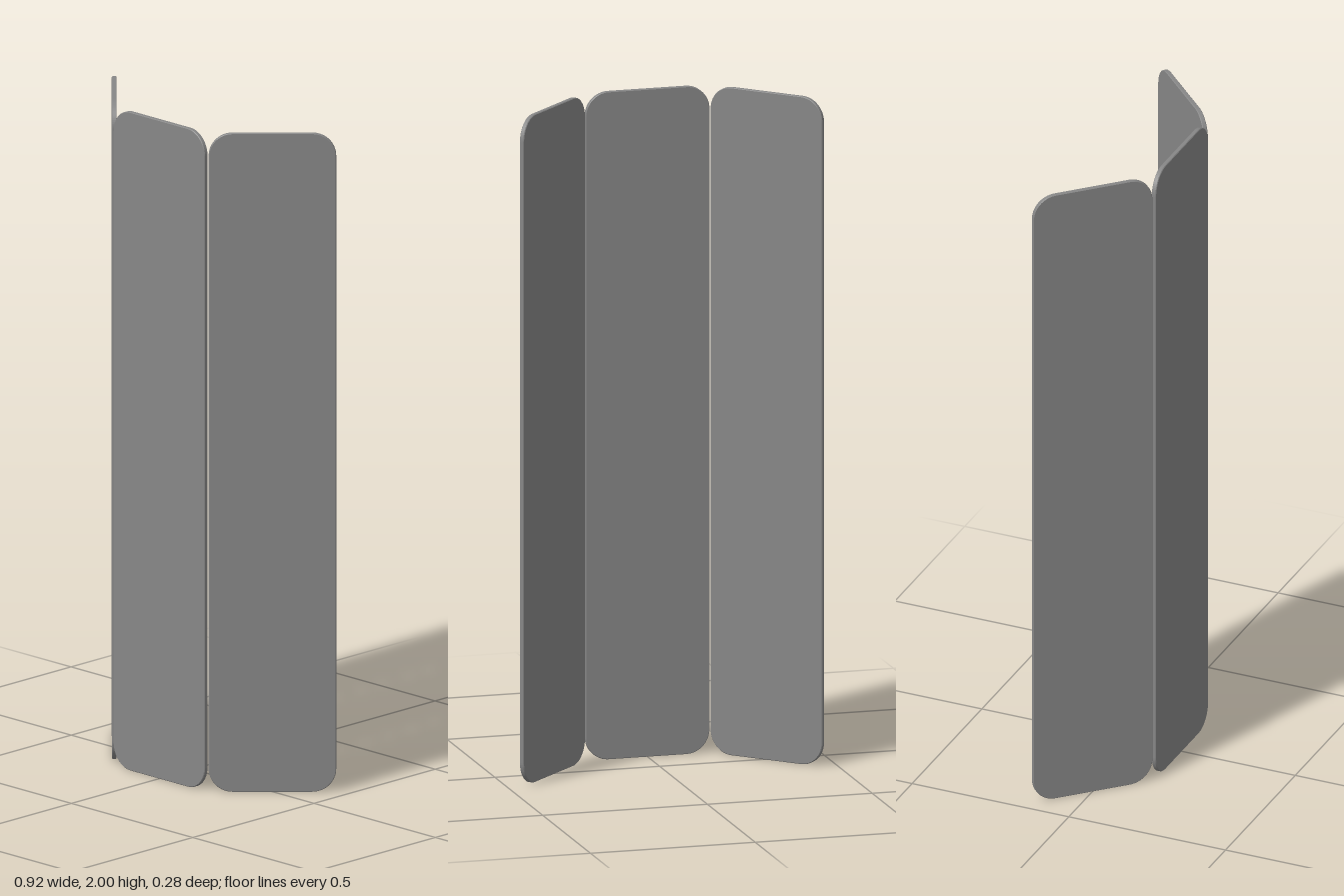
import * as THREE from 'three';

const HEIGHT = 2, THICKNESS = 0.014, RADIUS = 0.07, BEVEL = 0.002;

// Thin upright board with rounded corners and slightly eased edges, centred on its own origin
function panelGeometry(width) {
  const w = width / 2, h = HEIGHT / 2, r = RADIUS;
  const s = new THREE.Shape();
  s.moveTo(-w + r, -h);
  s.lineTo(w - r, -h);
  s.absarc(w - r, -h + r, r, -Math.PI / 2, 0);
  s.lineTo(w, h - r);
  s.absarc(w - r, h - r, r, 0, Math.PI / 2);
  s.lineTo(-w + r, h);
  s.absarc(-w + r, h - r, r, Math.PI / 2, Math.PI);
  s.lineTo(-w, -h + r);
  s.absarc(-w + r, -h + r, r, Math.PI, Math.PI * 1.5);
  const depth = THICKNESS - 2 * BEVEL;
  const geo = new THREE.ExtrudeGeometry(s, {
    depth, curveSegments: 10,
    bevelThickness: BEVEL, bevelSize: BEVEL, bevelOffset: -BEVEL, bevelSegments: 1,
  });
  return geo.translate(0, 0, -depth / 2);
}

export function createModel() {
  const group = new THREE.Group();
  group.name = 'foldingScreen';
  const material = new THREE.MeshStandardMaterial({ color: 0x878787 });

  const addPanel = (name, width, x, z, angle) => {
    const panel = new THREE.Mesh(panelGeometry(width), material);
    panel.name = name;
    panel.position.set(x, HEIGHT / 2, z);
    panel.rotation.y = angle;
    group.add(panel);
  };

  // Middle panel, with two wings folded back at 45 degrees
  addPanel('centrePanel', 0.376, 0, 0.132, 0);
  for (const side of [-1, 1]) {
    addPanel(side > 0 ? 'leftPanel' : 'rightPanel', 0.372, side * 0.326, -0.003, side * Math.PI / 4);
  }
  return group;
}
